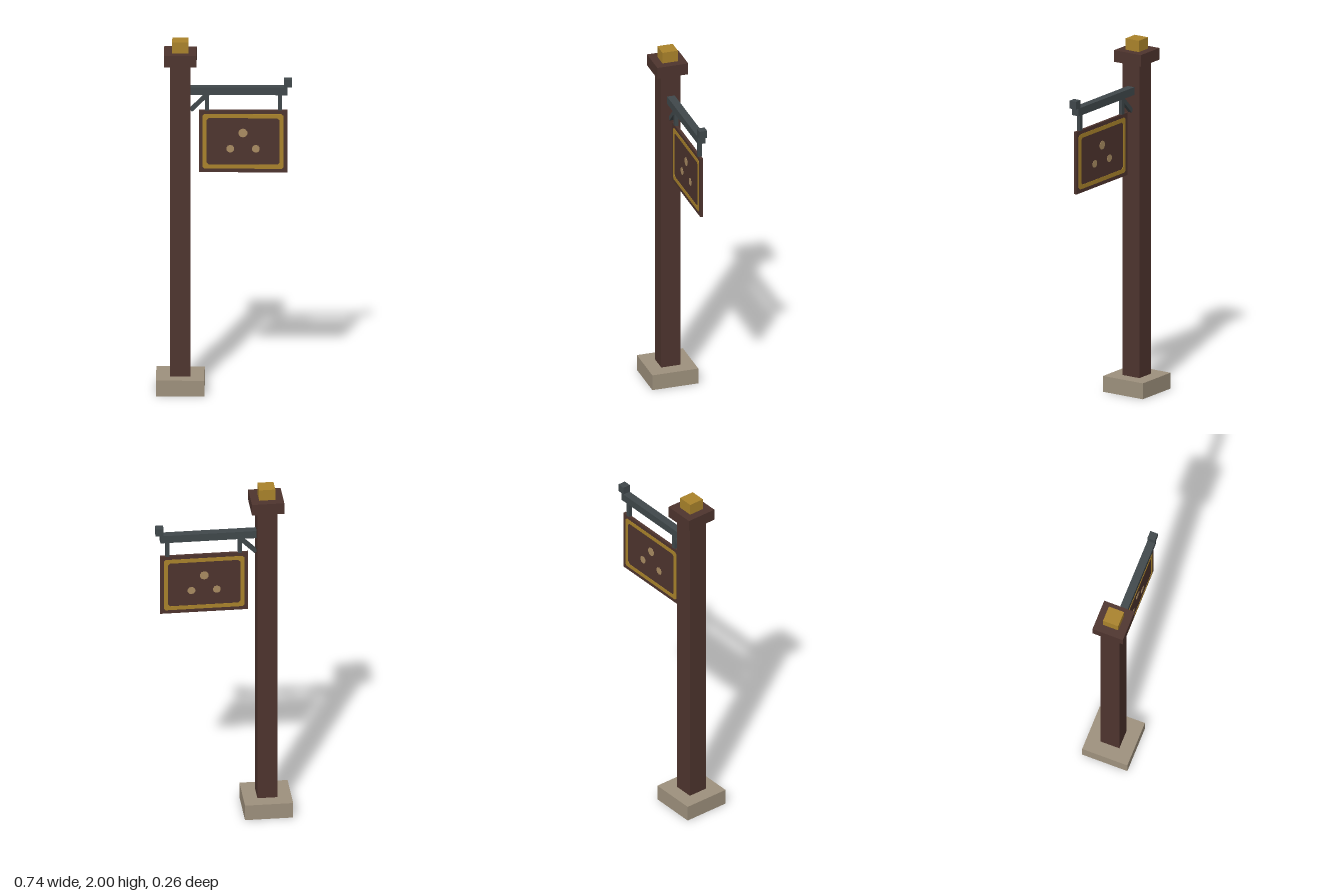
import * as THREE from 'three';

const mat = (name, color, side = THREE.FrontSide) => {
  const m = new THREE.MeshStandardMaterial({ color, side });
  m.name = name;
  return m;
};

export function createModel() {
  const wood = mat('dark wood', 0x4e342e);
  const gold = mat('gold', 0xaa832b);
  const stone = mat('stone', 0x9e917d, THREE.DoubleSide);
  const iron = mat('iron', 0x40484b);
  const tan = mat('tan', 0xaa8c62);

  const group = new THREE.Group();
  const add = (name, geometry, material, x, y, z = 0) => {
    const mesh = new THREE.Mesh(geometry, material);
    mesh.name = name;
    mesh.position.set(x, y, z);
    group.add(mesh);
    return mesh;
  };
  // Box given by its x and y ranges and its depth, centred on z = 0
  const box = (name, material, x0, x1, y0, y1, depth) =>
    add(name, new THREE.BoxGeometry(x1 - x0, y1 - y0, depth), material, (x0 + x1) / 2, (y0 + y1) / 2);
  const column = (name, material, width, y0, y1) =>
    box(name, material, -0.239 - width / 2, -0.239 + width / 2, y0, y1, width);

  // Hollow base, open underneath
  const base = column('base', stone, 0.265, 0, 0.09);
  const index = [...base.geometry.index.array];
  index.splice(18, 6);
  base.geometry.setIndex(index);
  base.geometry.clearGroups();

  // Post with cap and finial
  column('post', wood, 0.111, 0.09, 1.87);
  column('cap', wood, 0.178, 1.87, 1.936);
  column('finial', gold, 0.089, 1.936, 2);

  // Iron bracket
  box('arm', iron, -0.184, 0.346, 1.692, 1.736, 0.044);
  box('armKnob', iron, 0.328, 0.372, 1.736, 1.78, 0.044);
  add('brace', new THREE.BoxGeometry(0.135, 0.022, 0.022), iron, -0.134, 1.648).rotation.z = Math.PI / 4;
  for (const x of [-0.094, 0.305]) box('hanger', iron, x - 0.011, x + 0.011, 1.6, 1.692, 0.022);

  // Sign board
  box('signBoard', wood, -0.138, 0.346, 1.246, 1.6, 0.016);

  // Rectangle with clipped corners, for both edges of the border
  const clipped = (w, h, c) => [[w - c, -h], [w, c - h], [w, h - c], [w - c, h], [c - w, h], [-w, h - c], [-w, c - h], [c - w, -h]]
    .map(([x, y]) => new THREE.Vector2(x, y));
  const border = new THREE.Shape(clipped(0.222, 0.156, 0.011));
  border.holes.push(new THREE.Path(clipped(0.2, 0.133, 0.013).reverse()));
  const borderGeometry = new THREE.ExtrudeGeometry(border, { depth: 0.002, bevelEnabled: false });
  const dots = [[0.103, 1.471, 0.025], [0.034, 1.381, 0.022], [0.174, 1.381, 0.022]];

  // Painted border and dots on both faces
  for (const side of [1, -1]) {
    add('signBorder', borderGeometry, gold, 0.104, 1.423, side > 0 ? 0.008 : -0.01);
    for (const [x, y, r] of dots) {
      const dot = add('signDot', new THREE.CylinderGeometry(r, r, 0.002, 10), tan, x, y, side * 0.009);
      dot.rotation.x = Math.PI / 2;
    }
  }
  return group;
}
